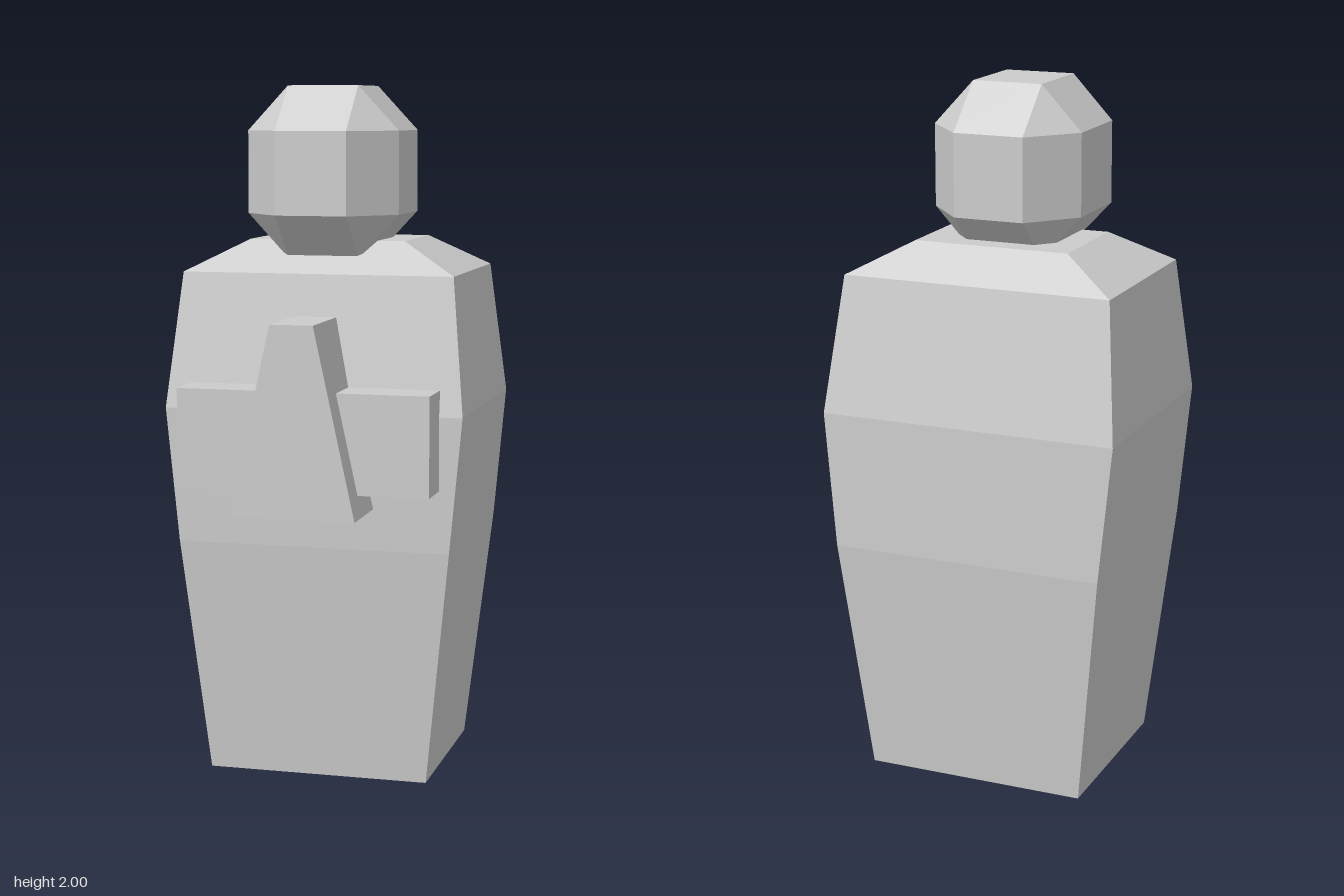
import * as THREE from 'three';
import { ConvexGeometry } from 'three/addons/geometries/ConvexGeometry.js';

const material = new THREE.MeshStandardMaterial({ color: 0xcccccc, flatShading: true });

function add(group, name, geometry) {
  const mesh = new THREE.Mesh(geometry, material);
  mesh.name = name;
  group.add(mesh);
  return mesh;
}

// Rectangular rings [y, halfWidth, zFront, zBack] joined into a closed solid
function loft(rings) {
  const positions = [];
  const index = [];
  for (const [y, w, f, b] of rings) {
    positions.push(-w, y, f, w, y, f, w, y, b, -w, y, b);
  }
  for (let r = 0; r < rings.length - 1; r++) {
    for (let i = 0; i < 4; i++) {
      const a = r * 4 + i, b = r * 4 + (i + 1) % 4;
      index.push(a, b, b + 4, a, b + 4, a + 4);
    }
  }
  const t = (rings.length - 1) * 4;
  index.push(0, 2, 1, 0, 3, 2, t, t + 1, t + 2, t, t + 2, t + 3);
  const geometry = new THREE.BufferGeometry();
  geometry.setAttribute('position', new THREE.Float32BufferAttribute(positions, 3));
  geometry.setIndex(index);
  const flat = geometry.toNonIndexed();
  flat.computeVertexNormals();
  return flat;
}

// Cube with bevelled edges and corners: three points at every corner
function bevelledCube(outer, inner) {
  const points = [];
  for (const x of [-1, 1]) for (const y of [-1, 1]) for (const z of [-1, 1]) {
    for (let axis = 0; axis < 3; axis++) {
      const p = [x, y, z].map((s, i) => s * (i === axis ? outer : inner)[i]);
      points.push(new THREE.Vector3(...p));
    }
  }
  return new ConvexGeometry(points);
}

export function createModel() {
  const group = new THREE.Group();

  // Tapered body with sloping shoulders
  add(group, 'body', loft([
    [0, 0.325, 0.175, -0.385],
    [0.69, 0.4, 0.23, -0.445],
    [1.08, 0.437, 0.235, -0.435],
    [1.47, 0.397, 0.18, -0.365],
    [1.56, 0.23, 0.065, -0.25],
  ]));

  // Faceted head
  add(group, 'head', bevelledCube([0.222, 0.245, 0.255], [0.103, 0.118, 0.119]))
    .position.set(0, 1.755, -0.01);

  // Wedge on the chest, narrow at the top
  add(group, 'chestWedge', loft([
    [0.81, 0.18, 0.445, 0.15],
    [1.35, 0.062, 0.445, 0.15],
  ]));

  // Bar passing through the wedge, showing as a block on each side
  add(group, 'chestBar', new THREE.BoxGeometry(0.73, 0.285, 0.16))
    .position.set(0.005, 1.0125, 0.28);

  return group;
}
